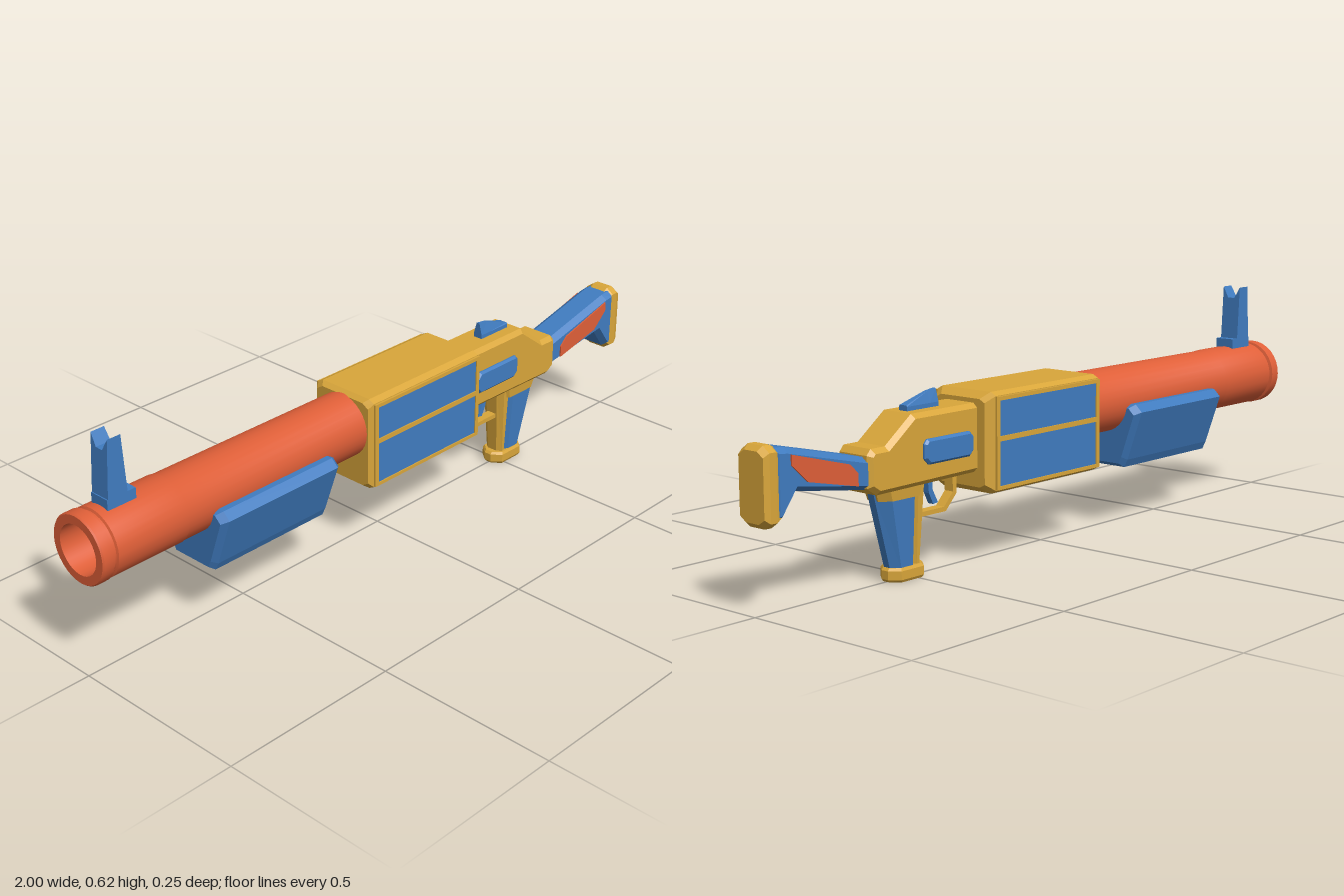
import * as THREE from 'three';
import { toCreasedNormals } from 'three/addons/utils/BufferGeometryUtils.js';

const yellow = new THREE.MeshStandardMaterial({ name: 'mustard yellow', color: 0xd9a63a });
const blue = new THREE.MeshStandardMaterial({ name: 'steel blue', color: 0x407cc0 });
const orange = new THREE.MeshStandardMaterial({ name: 'burnt orange', color: 0xdf5f38 });

// Flat-shaded solid through a series of matching cross-sections, with capped ends
function loft(sections) {
  const tris = [];
  const n = sections[0].length;
  for (let s = 0; s < sections.length - 1; s++) {
    const a = sections[s], b = sections[s + 1];
    for (let i = 0; i < n; i++) {
      const j = (i + 1) % n;
      tris.push([a[i], a[j], b[j]], [a[i], b[j], b[i]]);
    }
  }
  const first = sections[0], last = sections[sections.length - 1];
  for (let i = 1; i < n - 1; i++) {
    tris.push([first[0], first[i + 1], first[i]], [last[0], last[i], last[i + 1]]);
  }
  // Turn the faces outward, whichever way the sections run
  const c = first[0];
  let volume = 0;
  for (const t of tris) {
    const [p, q, r] = t.map((v) => new THREE.Vector3(v[0] - c[0], v[1] - c[1], v[2] - c[2]));
    volume += p.dot(q.cross(r));
  }
  const pos = tris.flatMap((t) => (volume < 0 ? [t[0], t[2], t[1]] : t).flat());
  const geo = new THREE.BufferGeometry();
  geo.setAttribute('position', new THREE.Float32BufferAttribute(pos, 3));
  geo.computeVertexNormals();
  return geo;
}

// Chamfered rectangle across x: half width w, from y0 to y1, corner cut cz by cy
const ringX = (x, w, y0, y1, cz, cy) => [
  [x, y1, w - cz], [x, y1 - cy, w], [x, y0 + cy, w], [x, y0, w - cz],
  [x, y0, cz - w], [x, y0 + cy, -w], [x, y1 - cy, -w], [x, y1, cz - w],
];

// Chamfered rectangle across y: from x0 to x1, half width w
const ringY = (y, x0, x1, w, cx, cz) => [
  [x0, y, w - cz], [x0 + cx, y, w], [x1 - cx, y, w], [x1, y, w - cz],
  [x1, y, cz - w], [x1 - cx, y, -w], [x0 + cx, y, -w], [x0, y, cz - w],
];

const outline = (pts) => new THREE.Shape(pts.map((p) => new THREE.Vector2(p[0], p[1])));
const rect = (x0, x1, y0, y1) => [[x0, y0], [x1, y0], [x1, y1], [x0, y1]];

// Side outline extruded evenly about z = 0, with a chamfered rim
function slab(shape, half, bevel = 0, rim = bevel) {
  const geo = new THREE.ExtrudeGeometry(shape, {
    depth: 2 * (half - bevel), bevelEnabled: bevel > 0, bevelThickness: bevel,
    bevelSize: rim, bevelOffset: -rim, bevelSegments: 1, curveSegments: 6,
  });
  return geo.translate(0, 0, bevel - half);
}

export function createModel() {
  const model = new THREE.Group();
  model.name = 'launcher';
  const add = (name, geo, mat) => {
    const mesh = new THREE.Mesh(geo, mat);
    mesh.name = name;
    model.add(mesh);
    return mesh;
  };

  // Hollow barrel with a muzzle ring and groove
  const profile = [
    [0, -0.5], [0.066, -0.5], [0.066, -1], [0.089, -1], [0.092, -0.996], [0.092, -0.966],
    [0.084, -0.963], [0.084, -0.955], [0.09, -0.952], [0.09, -0.74], [0.088, -0.735], [0.088, -0.1],
  ].map((p) => new THREE.Vector2(p[0], p[1]));
  const barrel = new THREE.LatheGeometry(profile, 32).rotateZ(-Math.PI / 2).translate(0, 0.35, 0);
  add('barrel', toCreasedNormals(barrel, 0.5), orange);

  // Front sight: notched post, narrowing upward, on a small foot
  const post = new THREE.ExtrudeGeometry(outline([
    [-0.029, 0.425], [0.029, 0.425], [0.029, 0.615], [0.011, 0.583], [-0.011, 0.583], [-0.029, 0.615],
  ]), { depth: 1, bevelEnabled: false }).rotateY(Math.PI / 2);
  const pp = post.attributes.position;
  for (let i = 0; i < pp.count; i++) {
    const t = (pp.getY(i) - 0.425) / 0.19;
    const front = -0.928 + 0.012 * t, back = -0.865 - 0.012 * t;
    pp.setX(i, front + (back - front) * pp.getX(i));
  }
  post.computeVertexNormals();
  add('frontSightPost', post, blue);
  add('frontSightFoot', new THREE.BoxGeometry(0.085, 0.04, 0.058).translate(-0.886, 0.443, 0), blue);

  // Foregrip slung under the barrel
  const half = [[0.105, 0.345], [0.126, 0.325], [0.078, 0.188], [0.067, 0.166]];
  const section = [...half, ...half.map(([z, y]) => [-z, y]).reverse()];
  const foreRing = (x, s) => section.map(([z, y]) => [x, 0.26 + (y - 0.26) * s, z * s]);
  add('foregrip', loft([
    foreRing(-0.662, 0.88), foreRing(-0.645, 1), foreRing(-0.277, 1), foreRing(-0.26, 0.88),
  ]), blue);

  // Central housing with framed side panels
  add('housing', loft([
    ringX(-0.132, 0.092, 0.195, 0.435, 0.02, 0.012),
    ringX(-0.118, 0.1, 0.185, 0.445, 0.017, 0.009),
    ringX(0.288, 0.1, 0.185, 0.445, 0.017, 0.009),
    ringX(0.312, 0.083, 0.202, 0.428, 0.017, 0.009),
  ]), yellow);
  const panels = [[-0.105, 0.278, 0.333, 0.424], [-0.105, 0.278, 0.205, 0.32]];
  const frame = outline(rect(-0.118, 0.29, 0.196, 0.434));
  for (const p of panels) frame.holes.push(new THREE.Path(outline(rect(...p)).getPoints()));
  for (const side of [-1, 1]) {
    add('housingFrame', slab(frame, 0.003).translate(0, 0, side * 0.103), yellow);
    panels.forEach((p) =>
      add('housingPanel', slab(outline(rect(...p)), 0.002).translate(0, 0, side * 0.101), blue));
  }

  // Receiver with raised side plates
  add('receiver', slab(outline([
    [0.3, 0.24], [0.655, 0.235], [0.685, 0.255], [0.685, 0.335], [0.672, 0.35],
    [0.625, 0.35], [0.535, 0.417], [0.3, 0.417],
  ]), 0.058, 0.012), yellow);
  add('receiverPlates', slab(outline([
    [0.345, 0.287], [0.49, 0.287], [0.506, 0.303], [0.506, 0.34], [0.496, 0.351],
    [0.345, 0.351], [0.33, 0.336], [0.33, 0.302],
  ]), 0.068, 0.006), blue);

  // Rear sight ridge
  const sightRing = (x, top, w) => [
    [x, 0.41, 0.014], [x, 0.428, 0.014], [x, top, w], [x, top, -w], [x, 0.428, -0.014], [x, 0.41, -0.014],
  ];
  add('rearSight', loft([
    sightRing(0.405, 0.461, 0.005), sightRing(0.435, 0.457, 0.005), sightRing(0.515, 0.431, 0.011),
  ]), blue);

  // Trigger and guard
  add('triggerGuard', slab(outline([
    [0.342, 0.25], [0.342, 0.187], [0.382, 0.146], [0.49, 0.146], [0.49, 0.158],
    [0.388, 0.158], [0.356, 0.192], [0.356, 0.25],
  ]), 0.014), yellow);
  add('trigger', slab(outline([
    [0.42, 0.25], [0.425, 0.21], [0.405, 0.172], [0.422, 0.17], [0.437, 0.2], [0.442, 0.25],
  ]), 0.009), blue);

  // Pistol grip with collar, front strap and foot
  add('gripCollar', loft([
    ringY(0.25, 0.47, 0.635, 0.047, 0.025, 0.025), ringY(0.21, 0.478, 0.622, 0.043, 0.025, 0.025),
  ]), yellow);
  add('grip', loft([
    ringY(0.235, 0.49, 0.632, 0.043, 0.03, 0.032), ringY(0.03, 0.498, 0.577, 0.03, 0.02, 0.02),
  ]), blue);
  add('gripFrontStrap', loft([
    ringY(0.235, 0.472, 0.515, 0.038, 0.012, 0.018), ringY(0.03, 0.484, 0.512, 0.028, 0.01, 0.013),
  ]), yellow);
  add('gripFoot', loft([
    ringY(0, 0.47, 0.58, 0.033, 0.02, 0.022), ringY(0.007, 0.464, 0.586, 0.037, 0.022, 0.026),
    ringY(0.029, 0.464, 0.586, 0.037, 0.022, 0.026), ringY(0.036, 0.47, 0.58, 0.033, 0.02, 0.022),
  ]), yellow);

  // Shoulder stock with side inlays and butt pad
  add('stock', slab(outline([
    [0.67, 0.249], [0.9, 0.283], [0.945, 0.222], [0.97, 0.222], [0.97, 0.394], [0.93, 0.39], [0.67, 0.328],
  ]), 0.049, 0.018, 0.013), blue);
  add('stockInlays', slab(outline([
    [0.718, 0.268], [0.875, 0.303], [0.924, 0.348], [0.924, 0.374], [0.745, 0.325], [0.718, 0.3],
  ]), 0.053), orange);
  add('buttPad', loft([
    ringX(0.948, 0.044, 0.22, 0.39, 0.021, 0.013), ringX(0.965, 0.047, 0.207, 0.4, 0.022, 0.015),
    ringX(0.985, 0.047, 0.207, 0.4, 0.022, 0.015), ringX(1, 0.042, 0.22, 0.388, 0.02, 0.013),
  ]), yellow);

  return model;
}
